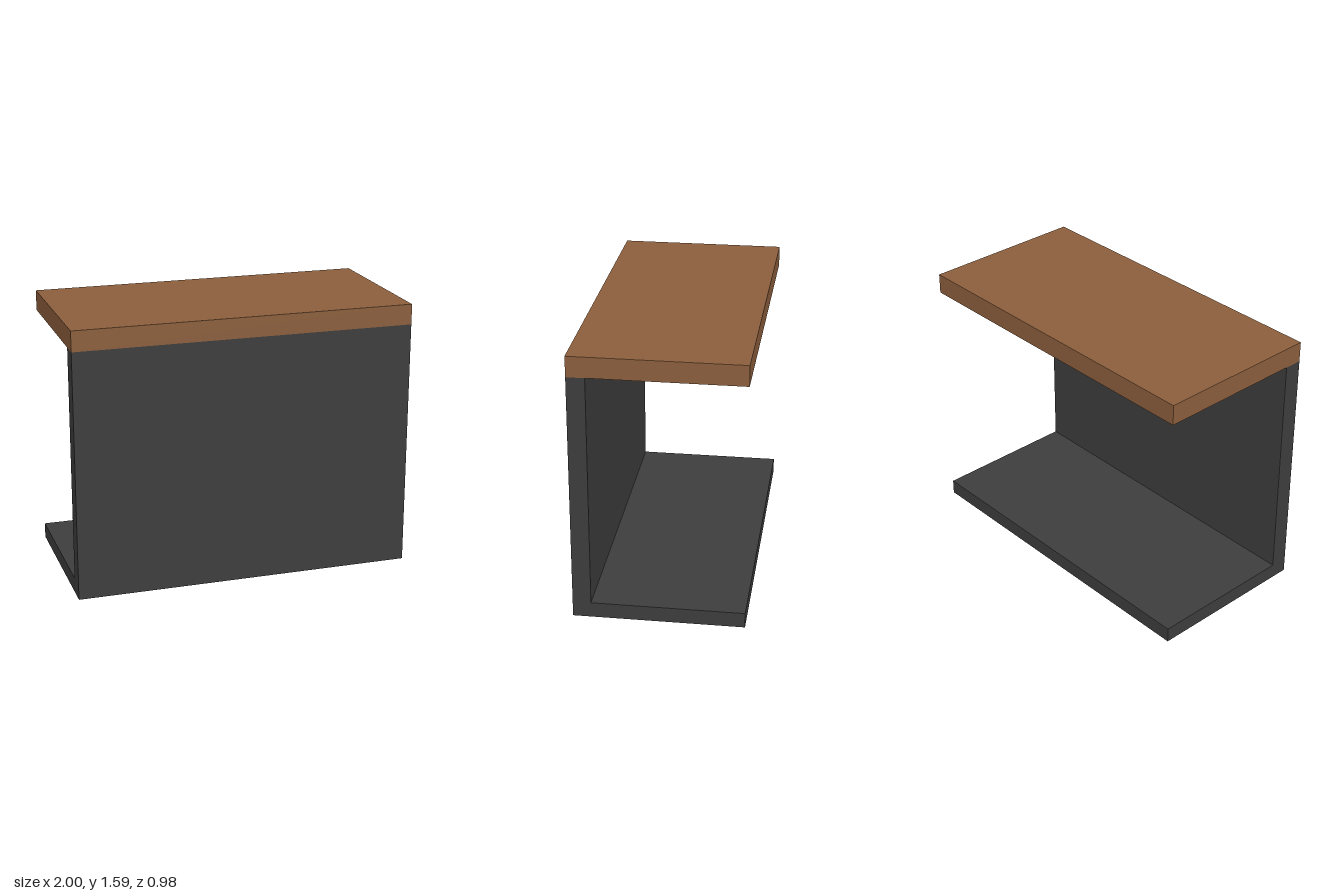
import * as THREE from 'three';

const WIDTH = 2, HALF_DEPTH = 0.49;
const FRAME_TOP = 1.465, TOP = 1.585;
const WALL = 0.105, BASE = 0.09;

export function createModel() {
  const wood = new THREE.MeshStandardMaterial({ color: 0x8b5e3c });
  wood.name = 'brown wood';
  const metal = new THREE.MeshStandardMaterial({ color: 0x3d3d3d });
  metal.name = 'dark grey';

  const group = new THREE.Group();
  group.name = 'counter';

  // L-shaped frame: front panel and base in one side profile, extruded along the width
  const profile = new THREE.Shape([
    [-HALF_DEPTH, 0],
    [HALF_DEPTH, 0],
    [HALF_DEPTH, BASE],
    [-HALF_DEPTH + WALL, BASE],
    [-HALF_DEPTH + WALL, FRAME_TOP],
    [-HALF_DEPTH, FRAME_TOP],
  ].map(([x, y]) => new THREE.Vector2(x, y)));
  const frameGeometry = new THREE.ExtrudeGeometry(profile, { depth: WIDTH, bevelEnabled: false });
  frameGeometry.translate(0, 0, -WIDTH / 2);
  frameGeometry.rotateY(Math.PI / 2); // profile x becomes -z, so the panel stands at the front
  const frame = new THREE.Mesh(frameGeometry, metal);
  frame.name = 'panelAndBase';
  group.add(frame);

  // Wooden top, flush with the frame on every side
  const top = new THREE.Mesh(
    new THREE.BoxGeometry(WIDTH, TOP - FRAME_TOP, HALF_DEPTH * 2), wood);
  top.position.y = (TOP + FRAME_TOP) / 2;
  top.name = 'counterTop';
  group.add(top);

  return group;
}
